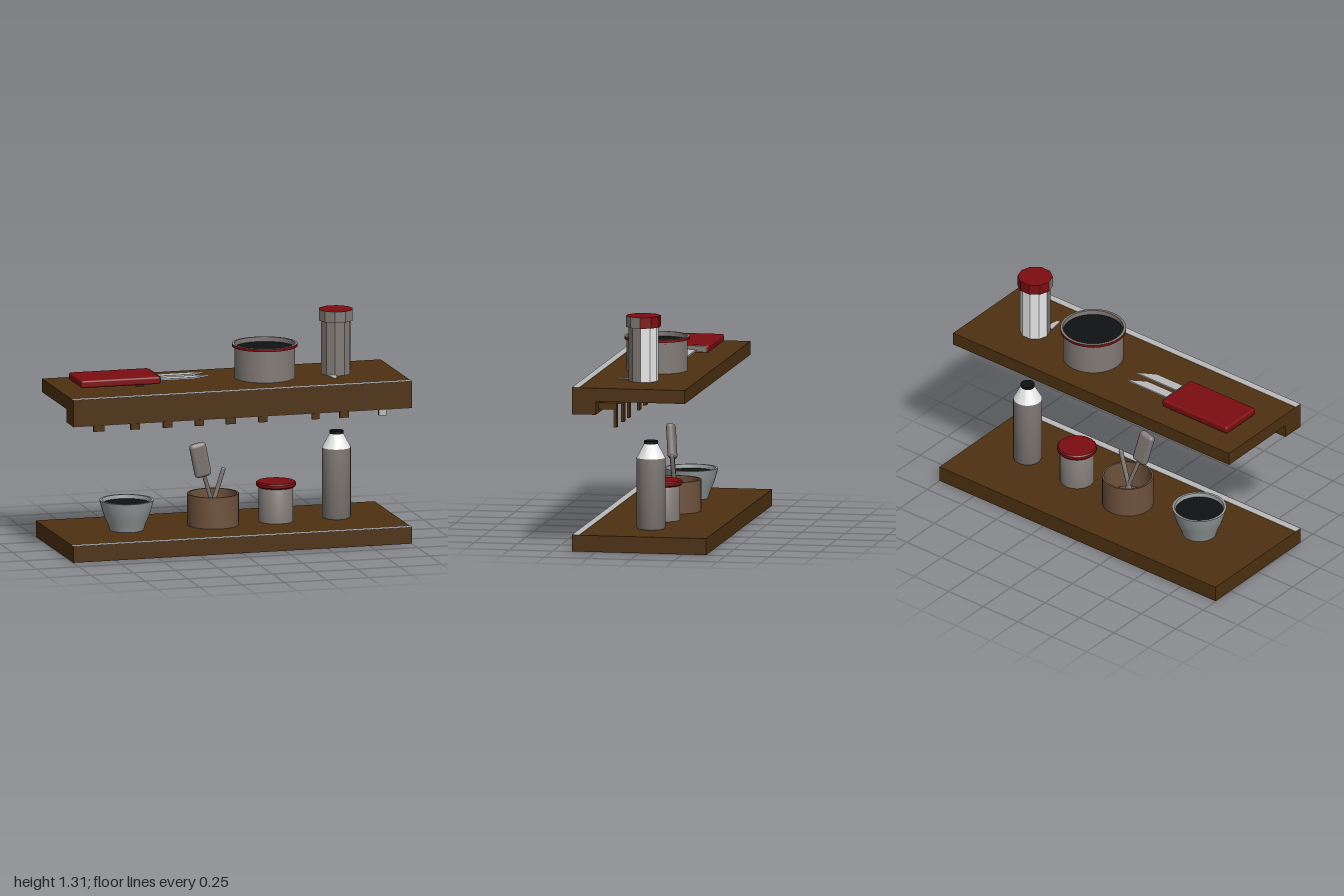
import * as THREE from 'three';
import { toCreasedNormals } from 'three/addons/utils/BufferGeometryUtils.js';
import { RoundedBoxGeometry } from 'three/addons/geometries/RoundedBoxGeometry.js';

const material = (name, color) => {
  const m = new THREE.MeshStandardMaterial({ color });
  m.name = name;
  return m;
};

export function createModel() {
  const wood = material('dark wood', 0x4e3111);
  const clay = material('brown clay', 0x6e523d);
  const red = material('red enamel', 0x7c0d11);
  const steel = material('warm grey steel', 0x827b77);
  const bowlGrey = material('cool grey', 0x9a9e9f);
  const light = material('light grey', 0xbababa);
  const white = material('white', 0xe8e8e8);
  const black = material('black', 0x101112);

  const model = new THREE.Group();
  model.name = 'kitchenShelves';

  const add = (parent, name, geometry, mat, x = 0, y = 0, z = 0) => {
    const mesh = new THREE.Mesh(geometry, mat);
    mesh.name = name;
    mesh.position.set(x, y, z);
    parent.add(mesh);
    return mesh;
  };
  const group = (name, x = 0, y = 0, z = 0) => {
    const g = new THREE.Group();
    g.name = name;
    g.position.set(x, y, z);
    model.add(g);
    return g;
  };
  // Box given by its limits on each axis
  const block = (parent, name, mat, [x0, x1], [y0, y1], [z0, z1]) =>
    add(parent, name, new THREE.BoxGeometry(x1 - x0, y1 - y0, z1 - z0), mat,
      (x0 + x1) / 2, (y0 + y1) / 2, (z0 + z1) / 2);
  // Turned part with crisp edges
  const lathe = (parent, name, mat, points, sides = 28) =>
    add(parent, name, toCreasedNormals(new THREE.LatheGeometry(
      points.map(([r, y]) => new THREE.Vector2(r, y)), sides), 0.6), mat);
  const disc = (parent, name, mat, r, y) =>
    add(parent, name, new THREE.CircleGeometry(r, 28).rotateX(-Math.PI / 2), mat, 0, y, 0);
  // Flat outline in x and z, given thickness upwards
  const plate = (parent, name, mat, outline, y, thickness) => {
    const shape = new THREE.Shape(outline.map(([x, z]) => new THREE.Vector2(x, -z)));
    const g = new THREE.ExtrudeGeometry(shape, { depth: thickness, bevelEnabled: false });
    return add(parent, name, g.rotateX(-Math.PI / 2), mat, 0, y, 0);
  };

  // Lower shelf
  const lower = group('lowerShelf');
  block(lower, 'lowerBoard', wood, [-1, 1], [0, 0.094], [-0.388, 0.388]);
  block(lower, 'lowerEdgeStrip', light, [-1, 1], [0.094, 0.096], [0.345, 0.388]);
  block(lower, 'undersidePatch', black, [-0.635, -0.565], [-0.001, 0.001], [0.01, 0.07]);

  // Upper shelf with front lip
  const upper = group('upperShelf');
  block(upper, 'upperBoard', wood, [-1, 1], [0.863, 0.94], [-0.264, 0.388]);
  block(upper, 'frontLip', wood, [-1, 1], [0.787, 0.863], [0.25, 0.388]);
  block(upper, 'upperEdgeStrip', light, [-1, 1], [0.94, 0.942], [0.345, 0.388]);
  block(upper, 'lipEdgeStrip', light, [-1, 1], [0.785, 0.787], [0.345, 0.388]);

  // Hooks behind the lip
  const hooks = [[-0.783, 0.064], [-0.57, 0.053], [-0.377, 0.053], [-0.19, 0.053], [-0.005, 0.058],
    [0.185, 0.053], [0.495, 0.043], [0.665, 0.053], [0.89, 0.043]];
  hooks.forEach(([x, w], i) => {
    const span = [x - w / 2, x + w / 2];
    block(upper, `hookArm${i + 1}`, wood, span, [0.807, 0.845], [0.163, 0.25]);
    block(upper, `hookDrop${i + 1}`, wood, span, [0.704, 0.845], [0.146, 0.163]);
  });
  block(upper, 'lastHookFace', light, [0.869, 0.911], [0.704, 0.807], [0.163, 0.165]);

  // Red case with two blades
  const knives = group('knifeCase');
  add(knives, 'case', new RoundedBoxGeometry(0.47, 0.044, 0.265, 2, 0.012), red, -0.645, 0.974, -0.002);
  block(knives, 'caseFoot', red, [-0.545, -0.5], [0.94, 0.955], [-0.1, 0.1]);
  block(knives, 'caseEnd', steel, [-0.411, -0.406], [0.956, 0.992], [-0.122, 0.118]);
  plate(knives, 'backBlade', light, [[-0.41, -0.064], [-0.105, -0.064], [-0.2, -0.005], [-0.41, -0.005]], 0.962, 0.009);
  plate(knives, 'frontBlade', light, [[-0.41, 0.027], [-0.095, 0.027], [-0.2, 0.086], [-0.41, 0.086]], 0.962, 0.009);

  // Cooking pot
  const pot = group('pot', 0.228, 0.94, 0.042);
  lathe(pot, 'potWall', steel, [[0, 0.001], [0.173, 0.001], [0.173, 0.184]], 32);
  lathe(pot, 'potRim', red, [[0.172, 0.182], [0.187, 0.182], [0.187, 0.198]], 32);
  lathe(pot, 'potRimTop', steel, [[0.187, 0.198], [0.172, 0.199], [0.172, 0.165]], 32);
  disc(pot, 'potInside', black, 0.173, 0.172);

  // Ten-sided shaker, front and back halves in different colours
  const shaker = group('shaker', 0.648, 0.94, 0.042);
  const half = (name, mat, r, y0, y1, start) => {
    const g = new THREE.CylinderGeometry(r, r, y1 - y0, 5, 1, true, start, Math.PI);
    add(shaker, name, toCreasedNormals(g, 0.3), mat, 0, (y0 + y1) / 2, 0);
  };
  half('shakerFront', steel, 0.086, 0, 0.32, -Math.PI / 2);
  half('shakerBack', white, 0.086, 0, 0.32, Math.PI / 2);
  half('capFront', steel, 0.1, 0.31, 0.373, -Math.PI / 2);
  half('capBack', red, 0.1, 0.31, 0.373, Math.PI / 2);
  const capDisc = new THREE.CircleGeometry(0.1, 10);
  add(shaker, 'capTop', capDisc.clone().rotateX(-Math.PI / 2), red, 0, 0.373, 0);
  add(shaker, 'capUnderside', capDisc.clone().rotateX(Math.PI / 2), steel, 0, 0.31, 0);
  plate(model, 'shakerTab', light, [[0.58, 0.11], [0.63, 0.11], [0.612, 0.2], [0.592, 0.2]], 0.941, 0.005);

  // Bowl
  const bowl = group('bowl', -0.575, 0.094, 0);
  lathe(bowl, 'bowlWall', bowlGrey, [[0, 0.001], [0.098, 0.001], [0.108, 0.035], [0.13, 0.085],
    [0.144, 0.13], [0.155, 0.174], [0.141, 0.174], [0.134, 0.14]]);
  disc(bowl, 'bowlInside', black, 0.139, 0.152);

  // Utensil holder
  const holder = group('utensilHolder', -0.063, 0.094, -0.008);
  lathe(holder, 'holderWall', clay, [[0, 0.001], [0.147, 0.001], [0.147, 0.182],
    [0.136, 0.182], [0.136, 0.02], [0, 0.02]]);
  const rod = (name, from, to, r) => {
    const path = new THREE.LineCurve3(new THREE.Vector3(...from), new THREE.Vector3(...to));
    add(holder, name, new THREE.TubeGeometry(path, 1, r, 8), steel);
  };
  rod('spatulaHandle', [0.025, 0.03, -0.01], [-0.066, 0.31, 0.03], 0.012);
  const head = add(holder, 'spatulaHead', new RoundedBoxGeometry(0.098, 0.205, 0.045, 3, 0.022), steel, -0.086, 0.385, 0.038);
  head.rotation.set(0.1, 0, 0.22);
  rod('spoonHandle', [-0.03, 0.03, 0], [0.058, 0.318, 0.01], 0.013);
  add(holder, 'spoonTip', new THREE.SphereGeometry(0.013, 8, 6), steel, 0.058, 0.318, 0.01);

  // Lidded jar
  const jar = group('jar', 0.308, 0.094, -0.005);
  lathe(jar, 'jarBody', steel, [[0, 0.001], [0.098, 0.001], [0.098, 0.19], [0.09, 0.205]]);
  lathe(jar, 'jarLid', red, [[0.09, 0.2], [0.106, 0.2], [0.113, 0.208], [0.113, 0.224], [0.106, 0.231], [0, 0.231]]);

  // Bottle
  const bottle = group('bottle', 0.665, 0.094, -0.005);
  lathe(bottle, 'bottleBody', steel, [[0, 0.001], [0.076, 0.001], [0.082, 0.012], [0.082, 0.408]]);
  lathe(bottle, 'bottleShoulder', white, [[0.082, 0.408], [0.038, 0.49]]);
  lathe(bottle, 'bottleCap', black, [[0.036, 0.488], [0.04, 0.488], [0.04, 0.505], [0, 0.505]]);

  return model;
}
